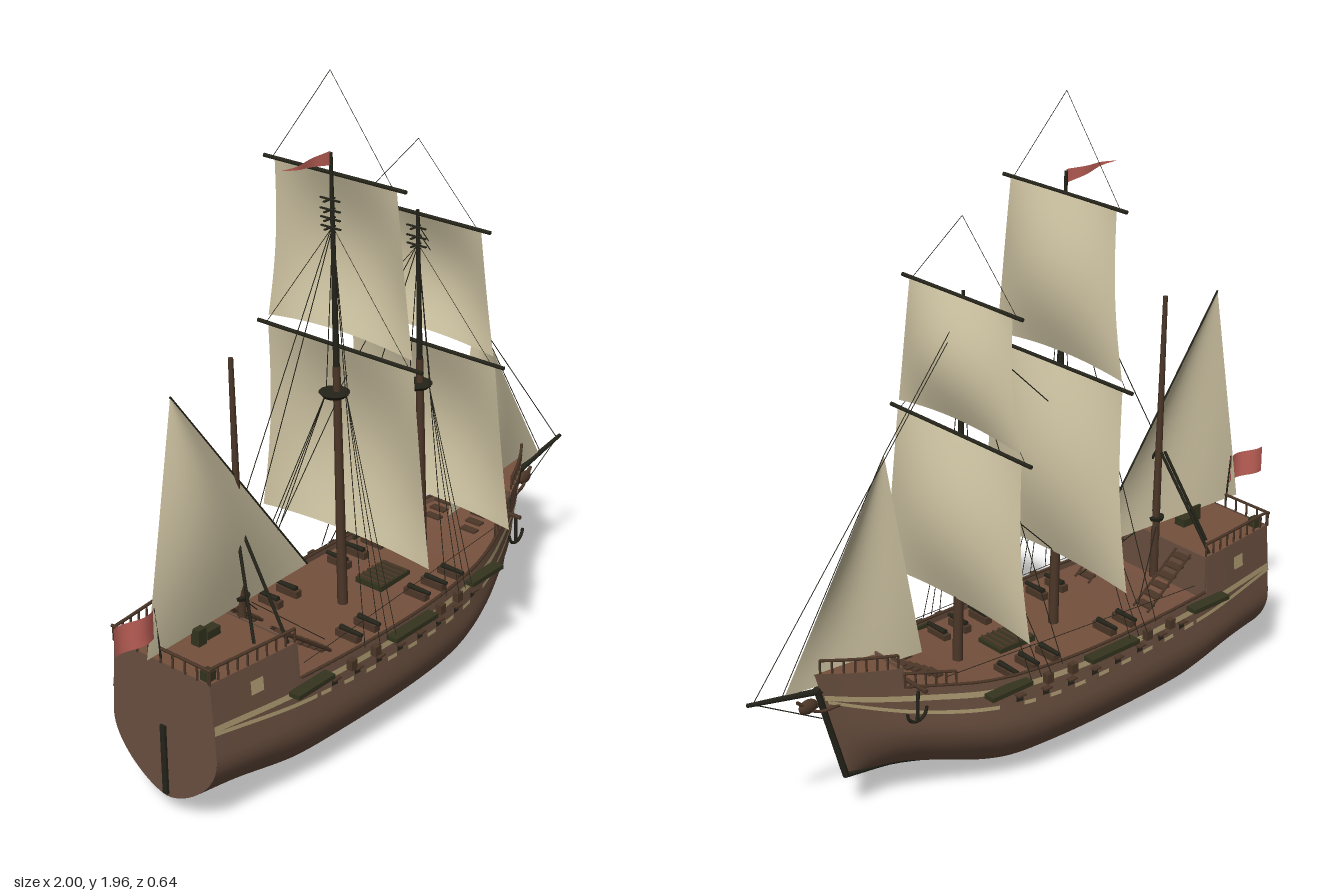
import * as THREE from 'three';

const mat = (name, color) => {
  const m = new THREE.MeshStandardMaterial({ color, side: THREE.DoubleSide });
  m.name = name;
  return m;
};

export function createModel() {
  const M = {
    hull: mat('hull brown', 0x6b5040), deck: mat('deck brown', 0x75503d), spar: mat('mast wood', 0x4c3728),
    dark: mat('tarred black', 0x25241a), sail: mat('canvas', 0xcfc4a3), stripe: mat('pale stripe', 0xae9c72),
    flag: mat('flag red', 0xc8665c), iron: mat('dark olive', 0x34341f),
  };
  const ship = new THREE.Group();
  ship.name = 'sailingShip';
  const V = (x, y, z) => new THREE.Vector3(x, y, z);
  const add = (name, geo, m, parent = ship) => {
    const mesh = new THREE.Mesh(geo, m);
    mesh.name = name;
    parent.add(mesh);
    return mesh;
  };
  const box = (name, x, y, z, w, h, d, m) => {
    const b = add(name, new THREE.BoxGeometry(w, h, d), m);
    b.position.set(x, y, z);
    return b;
  };
  // Tapered rod between two points
  const rod = (name, a, b, r0, r1, m, sides = 8) => {
    const r = add(name, new THREE.CylinderGeometry(r1, r0, a.distanceTo(b), sides), m);
    r.position.copy(a).lerp(b, 0.5);
    r.quaternion.setFromUnitVectors(V(0, 1, 0), b.clone().sub(a).normalize());
    return r;
  };
  const rope = (a, b, r = 0.0016) => rod('rope', V(...a), V(...b), r, r, M.dark, 4);
  const tube = (name, pts, r, m) =>
    add(name, new THREE.TubeGeometry(new THREE.CatmullRomCurve3(pts), 40, r, 6), m);
  // Smooth surface from a rule f(u, v)
  const grid = (nu, nv, f) => {
    const pos = [], idx = [];
    for (let i = 0; i <= nu; i++) for (let j = 0; j <= nv; j++) pos.push(...f(i / nu, j / nv));
    for (let i = 0; i < nu; i++) for (let j = 0; j < nv; j++) {
      const a = i * (nv + 1) + j, b = a + nv + 1;
      idx.push(a, b, a + 1, b, b + 1, a + 1);
    }
    const g = new THREE.BufferGeometry();
    g.setAttribute('position', new THREE.Float32BufferAttribute(pos, 3));
    g.setIndex(idx);
    g.computeVertexNormals();
    return g;
  };
  const mix = THREE.MathUtils.lerp;
  // Smooth table lookup
  const table = pts => x => {
    const n = pts.length;
    let i = 0;
    while (i < n - 2 && x > pts[i + 1][0]) i++;
    const slope = k => {
      const a = pts[Math.max(k - 1, 0)], b = pts[Math.min(k + 1, n - 1)];
      return (b[1] - a[1]) / (b[0] - a[0]);
    };
    const [x0, y0] = pts[i], [x1, y1] = pts[i + 1], h = x1 - x0;
    const t = THREE.MathUtils.clamp((x - x0) / h, 0, 1), s = t * t, c = s * t;
    return (2 * c - 3 * s + 1) * y0 + (c - 2 * s + t) * h * slope(i) + (3 * s - 2 * c) * y1 + (c - s) * h * slope(i + 1);
  };

  // Hull lines
  const STERN = -0.845, BOW = 0.77;
  const keelY = table([[-0.85, 0.06], [-0.7, 0.047], [-0.5, 0.012], [-0.4, 0.006], [0.12, 0.006], [0.25, 0.024], [0.4, 0.07], [0.55, 0.11], [0.77, 0.135]]);
  const sheerY = table([[-0.85, 0.385], [-0.5, 0.37], [0, 0.365], [0.3, 0.38], [0.5, 0.41], [0.77, 0.45]]);
  const beam = table([[-0.85, 0.196], [-0.53, 0.232], [-0.1, 0.248], [0.2, 0.232], [0.35, 0.202], [0.5, 0.148], [0.62, 0.096], [0.7, 0.052], [0.77, 0.005]]);
  const bowness = x => Math.max(0, (x - 0.2) / 0.57);
  const hullPoint = (x, y, s, out = 0) => {
    const t = (y - keelY(x)) / (sheerY(x) - keelY(x)), w = bowness(x);
    const f = t < 0.6
      ? Math.pow(Math.sin(Math.max(t, 0) / 0.6 * Math.PI / 2), 0.5 + 0.4 * w + (x < -0.5 ? 0.3 * (-0.5 - x) : 0))
      : 1 - 0.05 * (1 - w) * (t - 0.6) / 0.4;
    return [x - 0.085 * w * w * (1 - t), y, s * (beam(x) * f + out)];
  };
  const strip = (name, x0, x1, lo, hi, out, m, nu = 48, nv = 2) => {
    for (const s of [1, -1]) add(name, grid(nu, nv, (u, v) => {
      const x = mix(x0, x1, s > 0 ? u : 1 - u);
      return hullPoint(x, mix(lo(x), hi(x), v), s, out);
    }), m);
  };
  const deck = (name, x0, x1, yf) => add(name, grid(32, 4, (u, v) => {
    const x = mix(x0, x1, u), p = hullPoint(x, yf(x), 1);
    return [p[0], p[1], mix(p[2], -p[2], 1 - v)];
  }), M.deck);
  const aftTop = () => 0.488;
  const foreTop = x => mix(0.485, 0.5, (x - 0.56) / 0.21);

  for (const s of [1, -1]) add('hullSide', grid(72, 24, (u, v) => {
    const x = mix(STERN, BOW, s > 0 ? u : 1 - u);
    return hullPoint(x, mix(keelY(x), sheerY(x), v * v), s);
  }), M.hull);
  add('transom', grid(24, 2, (u, v) => {
    const p = hullPoint(STERN, mix(keelY(STERN), 0.488, u * u), 1);
    return [p[0], p[1], mix(-p[2], p[2], v)];
  }), M.hull);
  strip('aftCastleSide', STERN, -0.535, sheerY, aftTop, 0, M.hull, 12);
  strip('foreCastleSide', 0.565, BOW, sheerY, foreTop, 0, M.hull, 12);
  deck('mainDeck', -0.54, 0.6, x => sheerY(x) - 0.025);
  deck('quarterDeck', STERN, -0.535, () => 0.482);
  deck('foreDeck', 0.565, BOW, x => foreTop(x) - 0.008);
  box('aftBulkhead', -0.537, 0.415, 0, 0.006, 0.145, 0.42, M.hull);
  box('foreBulkhead', 0.565, 0.44, 0, 0.006, 0.09, 0.23, M.hull);

  // Stripes, gun ports, windows
  const upper = x => sheerY(x) - 0.032;
  strip('upperStripe', STERN, 0.765, x => upper(x) - 0.009, x => upper(x) + 0.009, 0.003, M.stripe);
  const lower = table([[-0.85, 0.34], [-0.5, 0.3], [0, 0.278], [0.2, 0.285], [0.5, 0.33], [0.77, 0.405]]);
  strip('lowerStripeAft', STERN, -0.48, x => lower(x) - 0.006, x => lower(x) + 0.006, 0.003, M.stripe, 16);
  strip('lowerStripeFore', 0.3, 0.76, x => lower(x) - 0.006, x => lower(x) + 0.006, 0.003, M.stripe, 24);
  for (let i = 0; i < 8; i++) {
    const x = -0.41 + i * 0.092;
    strip('stripeDash', x - 0.055, x - 0.015, q => lower(q) - 0.006, q => lower(q) + 0.006, 0.003, M.stripe, 2);
    strip('gunPort', x - 0.012, x + 0.012, q => lower(q) + 0.008, q => lower(q) + 0.028, 0.004, M.dark, 2);
    for (const s of [1, -1]) {
      const p = hullPoint(x, lower(x) + 0.03, s, 0.008);
      box('portLid', p[0], p[1], p[2], 0.028, 0.005, 0.02, M.spar);
    }
  }
  strip('cabinWindow', -0.712, -0.668, () => 0.4, () => 0.442, 0.003, M.stripe, 2);

  // Keel, stem, rudder
  const keelPts = [];
  for (let i = 0; i <= 16; i++) { const x = mix(-0.83, BOW, i / 16); keelPts.push(V(hullPoint(x, keelY(x), 1)[0], keelY(x) + 0.003, 0)); }
  tube('keel', keelPts, 0.009, M.dark);
  rod('stem', V(0.687, 0.135, 0), V(0.775, 0.45, 0), 0.01, 0.01, M.dark);
  box('rudder', -0.842, 0.18, 0, 0.022, 0.22, 0.018, M.dark);

  // Rails with posts
  const railing = (name, x0, x1, base, height, n) => {
    for (const s of [1, -1]) {
      const top = [];
      for (let i = 0; i <= n; i++) {
        const x = mix(x0, x1, i / n), p = hullPoint(x, base(x), s, -0.004);
        top.push(V(p[0], p[1] + height, p[2]));
        if (height > 0.01) rod('railPost', V(...p), top[i], 0.0035, 0.0035, M.spar, 5);
      }
      tube(name, top, 0.005, M.spar);
    }
  };
  railing('mainRail', -0.53, 0.56, sheerY, 0.003, 24);
  railing('quarterRail', STERN, -0.54, aftTop, 0.042, 9);
  railing('foreRail', 0.57, 0.755, foreTop, 0.04, 7);
  railing('foreStairRail', 0.42, 0.56, x => sheerY(x), 0.045, 5);
  for (let i = 0; i <= 8; i++) rod('sternPost', V(-0.845, 0.485, -0.18 + i * 0.045), V(-0.845, 0.53, -0.18 + i * 0.045), 0.0035, 0.0035, M.spar, 5);
  rod('sternRail', V(-0.845, 0.53, -0.185), V(-0.845, 0.53, 0.185), 0.005, 0.005, M.spar, 6);

  // Deck fittings
  box('hatch', 0.085, 0.348, 0, 0.135, 0.02, 0.1, M.iron);
  for (let i = 0; i < 6; i++) box('hatchBar', 0.03 + i * 0.022, 0.36, 0, 0.006, 0.006, 0.1, M.spar);
  for (const s of [1, -1]) {
    for (let i = 0; i < 6; i++) {
      box('aftStep', -0.51 + i * 0.03, 0.47 - i * 0.022, s * 0.13, 0.03, 0.006, 0.055, M.spar);
      box('foreStep', 0.42 + i * 0.026, 0.395 + i * 0.016, s * 0.07, 0.026, 0.006, 0.055, M.spar);
    }
    for (const z of [0.1, 0.16]) rod('stairSide', V(-0.34, 0.35, s * z), V(-0.52, 0.485, s * z), 0.005, 0.005, M.spar, 4);
    for (const x of [-0.25, -0.17, 0.06, 0.14, 0.22]) {
      box('gunCarriage', x, 0.356, s * 0.15, 0.024, 0.022, 0.08, M.spar);
      rod('gunBarrel', V(x, 0.372, s * 0.12), V(x, 0.372, s * 0.2), 0.009, 0.006, M.dark);
    }
    for (const x of [-0.35, -0.25, 0.05, 0.14]) box('sideBlock', x, 0.345, s * (beam(x) + 0.005), 0.024, 0.03, 0.02, M.spar);
    for (const [x, w] of [[-0.515, 0.15], [-0.095, 0.19], [0.28, 0.15]])
      box('channel', x, 0.355, s * (beam(x) + 0.012), w, 0.014, 0.038, M.iron);
    box('sternChest', -0.82, 0.495, s * 0.15, 0.03, 0.03, 0.03, M.iron);
    // Anchor
    const az = s * 0.155;
    rod('anchorShank', V(0.545, 0.42, az), V(0.55, 0.325, az), 0.005, 0.005, M.dark);
    const arm = add('anchorArms', new THREE.TorusGeometry(0.034, 0.005, 6, 12, Math.PI), M.dark);
    arm.rotation.z = Math.PI;
    arm.position.set(0.55, 0.36, az);
    rod('catBeam', V(0.535, 0.425, s * 0.09), V(0.535, 0.425, s * 0.18), 0.007, 0.007, M.spar, 5);
    // Beakhead rails
    tube('beakRail', [V(0.72, 0.39, s * 0.03), V(0.78, 0.385, s * 0.012), V(0.84, 0.43, 0)], 0.005, M.spar);
  }
  box('binnacle', -0.71, 0.51, 0.01, 0.03, 0.05, 0.03, M.iron);
  box('bench', -0.66, 0.5, 0, 0.05, 0.025, 0.04, M.iron);
  const head = add('figurehead', new THREE.SphereGeometry(0.024, 12, 8), M.spar);
  head.position.set(0.805, 0.405, 0);
  head.scale.set(1.3, 0.9, 0.6);

  // Square-rigged masts: [bottomY, topY, bottom half width, top half width, bulge]
  const squareMast = (name, xa, xb, yTop, topY, sails, ticks, peak, ch) => {
    const mx = y => mix(xa, xb, (y - 0.34) / (yTop - 0.34));
    rod(name + 'Lower', V(xa, 0.33, 0), V(mx(topY + 0.08), topY + 0.08, 0), 0.016, 0.011, M.spar, 10);
    rod(name + 'Upper', V(mx(topY), topY, 0), V(xb, yTop, 0), 0.01, 0.005, M.dark);
    const t = add(name + 'Platform', new THREE.CylinderGeometry(0.045, 0.035, 0.012, 14), M.dark);
    t.position.set(mx(topY) - 0.012, topY, 0);
    for (const y of ticks) {
      box('crosstree', mx(y) - 0.008, y, 0, 0.006, 0.004, 0.07, M.dark);
      box('crosstreeArm', mx(y) - 0.012, y, 0, 0.045, 0.004, 0.006, M.dark);
    }
    for (const [yb, yt, wb, wt, bulge] of sails) {
      add(name + 'Sail', grid(16, 16, (u, v) => {
        const c = u * 2 - 1, y = mix(yb, yt, v) + 0.02 * (1 - c * c) * (1 - v);
        return [mx(y) + 0.012 + bulge * Math.sin(Math.PI * v) * (1 - 0.85 * c * c), y, -c * mix(wb, wt, v) * (1 - 0.035 * Math.sin(Math.PI * v))];
      }), M.sail);
      rod(name + 'Yard', V(mx(yt) + 0.008, yt, -wt - 0.035), V(mx(yt) + 0.008, yt, wt + 0.035), 0.006, 0.006, M.dark);
    }
    const top = sails[1], y1 = ticks[0];
    for (const s of [1, -1]) {
      rope([mx(top[1]), top[1], s * top[3]], [xb, peak, 0], 0.001);
      rope([mx(sails[0][1]), sails[0][1], s * sails[0][3]], [mx(y1), y1, 0], 0.001);
      for (const dx of [-0.14, -0.105, -0.07]) rope([xa + dx, 0.36, s * (beam(xa + dx) + 0.012)], [mx(topY), topY, s * 0.035], 0.0015);
      rope([xa + ch, 0.37, s * beam(xa + ch)], [mx(y1), y1, 0]);
      rope([mx(topY), topY, s * 0.04], [mx(y1), y1, 0]);
    }
  };
  squareMast('mainMast', -0.1, -0.14, 1.73, 1.025, [[0.56, 1.165, 0.315, 0.265, 0.062], [1.19, 1.67, 0.262, 0.215, 0.055]], [1.52, 1.545, 1.57, 1.6], 1.955, -0.19);
  squareMast('foreMast', 0.275, 0.235, 1.47, 0.925, [[0.535, 1.055, 0.32, 0.265, 0.055], [1.08, 1.455, 0.26, 0.215, 0.048]], [1.365, 1.39, 1.42], 1.68, -0.19);

  // Mizzen mast, derricks and lateen sail
  rod('mizzenMast', V(-0.525, 0.35, 0), V(-0.545, 1.27, 0), 0.014, 0.007, M.spar);
  const mizzenTop = add('mizzenCollar', new THREE.CylinderGeometry(0.026, 0.022, 0.012, 12), M.dark);
  mizzenTop.position.set(-0.53, 0.55, 0);
  for (const s of [1, -1]) {
    rod('mizzenStrut', V(-0.62, 0.49, s * 0.13), V(-0.55, 0.77, s * 0.01), 0.005, 0.005, M.dark, 5);
    rod('mizzenBrace', V(-0.56, 0.49, s * 0.2), V(-0.535, 0.77, s * 0.01), 0.005, 0.005, M.dark, 5);
    rope([-0.51, 0.53, s * 0.02], [-0.33, 0.37, s * 0.13]);
  }
  // Three-cornered sail with a slight belly
  const triSail = (name, a, b, c, belly) => add(name, grid(14, 14, (u, v) => {
    const p = [0, 1].map(k => mix(a[k], mix(b[k], c[k], u), v));
    return [p[0], p[1], belly * Math.sin(Math.PI * v) * Math.sin(Math.PI * u)];
  }), M.sail);
  triSail('mizzenSail', [-0.77, 1.235], [-0.895, 0.515], [-0.255, 0.535], 0.045);
  rod('mizzenYard', V(-0.77, 1.235, 0), V(-0.255, 0.535, 0), 0.003, 0.003, M.dark, 6);
  triSail('jib', [0.52, 1.07], [0.405, 0.425], [0.88, 0.465], 0.035);

  // Bowsprit and stays
  rod('bowsprit', V(0.7, 0.425, 0), V(1, 0.485, 0), 0.011, 0.006, M.dark);
  rope([0.98, 0.48, 0], [0.76, 0.35, 0]);
  rope([0.24, 1.42, 0], [0.52, 1.07, 0]);
  rope([0.52, 1.07, 0], [0.89, 0.465, 0]);
  rope([0.24, 1.4, 0], [0.98, 0.485, 0]);
  rope([-0.5, 0.86, 0], [-0.14, 1.52, 0]);
  rope([-0.38, 0.69, 0], [-0.12, 1.0, 0]);
  rope([-0.1, 0.58, 0], [0.25, 0.925, 0]);
  rope([-0.11, 1.03, 0], [0.24, 1.37, 0]);
  for (const s of [1, -1]) rope([-0.5, 0.4, s * 0.2], [0.45, 0.43, s * 0.16], 0.0012);

  // Flags
  const wave = x => 0.01 * Math.sin(x * 40);
  add('pennant', grid(12, 2, (u, v) => {
    const x = mix(-0.33, -0.14, u);
    return [x, mix(1.725, mix(1.695, 1.735, v), u), wave(x) * (1 - u)];
  }), M.flag);
  add('sternFlag', grid(12, 4, (u, v) => {
    const x = mix(-1, -0.865, u) + 0.012 * u * Math.abs(v * 2 - 1);
    return [x, mix(0.57, 0.655, v), wave(x)];
  }), M.flag);
  rod('flagStaff', V(-0.845, 0.5, 0), V(-0.862, 0.66, 0), 0.0035, 0.0025, M.dark, 6);
  return ship;
}
